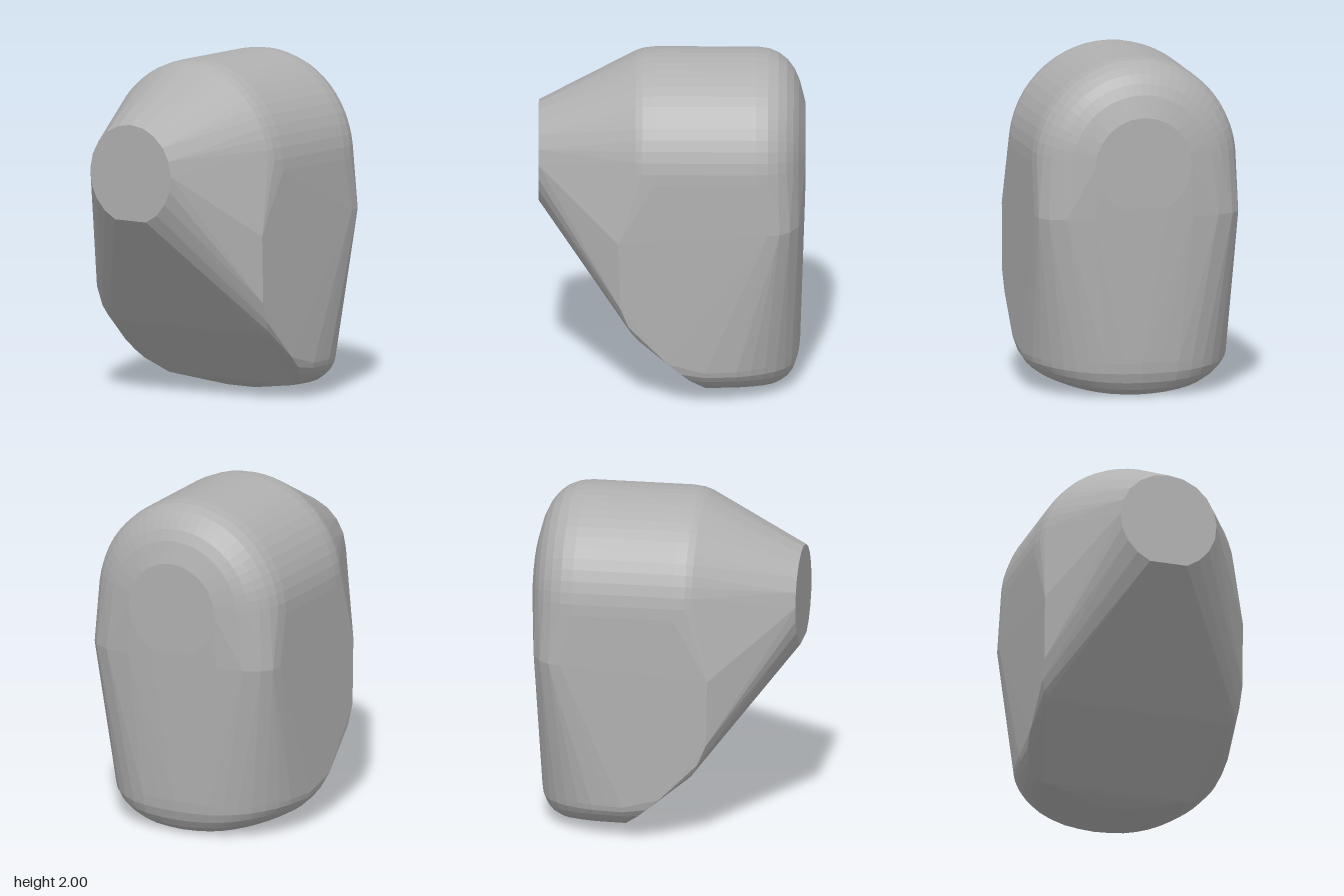
import * as THREE from 'three';
import { ConvexGeometry } from 'three/addons/geometries/ConvexGeometry.js';

const AXIS_Y = 1.39; // height of the nose and crown axis

export function createModel() {
  const group = new THREE.Group();
  group.name = 'model';
  const grey = new THREE.MeshStandardMaterial({ color: 0xb0b0b0 });
  grey.name = 'grey';

  // Every section is mirrored across x = 0; the body is their taut skin
  const points = [];
  const add = (x, y, z) => {
    points.push(new THREE.Vector3(x, y, z));
    if (x > 0.001) points.push(new THREE.Vector3(-x, y, z));
  };
  const arc = (radius, z, from, steps) => {
    for (let i = 0; i <= steps; i++) {
      const a = THREE.MathUtils.degToRad(from + (90 - from) * i / steps);
      add(radius * Math.cos(a), AXIS_Y + radius * Math.sin(a), z);
    }
  };

  // Round nose face with a flat lower edge
  arc(0.297, 0.785, -67.5, 9);

  // Domed crown: half rings with a soft front shoulder and a rounded back
  const crown = [[0.21, 0.59], [0.17, 0.603], [0.1, 0.611], [-0.5, 0.611],
    [-0.57, 0.602], [-0.63, 0.577], [-0.68, 0.538], [-0.72, 0.485], [-0.75, 0.42]];
  for (const [z, r] of crown) arc(r, z, 0, 14);

  // Flat back disc
  arc(0.29, -0.785, -60, 10);

  // Cheek edges of the flat sides, running down to the chin
  for (const [x, y, z] of [
    [0.613, 1.02, 0.31], [0.613, 0.62, 0.3], [0.61, 0.5, 0.25], [0.59, 0.45, 0.23],
    [0.57, 0.42, 0.21], [0.57, 0.4, 0.19], [0.613, 0.27, 0.02], [0.6, 0.2, -0.06],
    [0.57, 0.15, -0.11], [0.5, 0.1, -0.17], [0.3, 0.045, -0.23], [0.1, 0.01, -0.3],
  ]) add(x, y, z);

  // Rounded back corners at mid height
  for (const [x, z] of [[0.613, -0.57], [0.602, -0.64], [0.555, -0.7], [0.46, -0.75], [0.3, -0.778]])
    add(x, 1.08, z);

  // Wide rounded heel, rolled under towards the base
  const heel = new THREE.CatmullRomCurve3([[0.608, -0.2], [0.57, -0.43], [0.45, -0.62],
    [0.27, -0.725], [0, -0.755]].map(([x, z]) => new THREE.Vector3(x, 0, z)));
  for (const p of heel.getPoints(10)) {
    for (let i = 0; i <= 5; i++) {
      const a = (i / 5) * Math.PI / 2;
      const shrink = 1 - 0.25 * (1 - Math.cos(a));
      const x = p.x * shrink;
      const floor = 0.002 + 0.3 * x * x;
      add(x, floor + (0.21 - floor) * (1 - Math.sin(a)), -0.2 + (p.z + 0.2) * shrink);
    }
  }

  const body = new THREE.Mesh(new ConvexGeometry(points), grey);
  body.name = 'body';
  group.add(body);
  return group;
}
